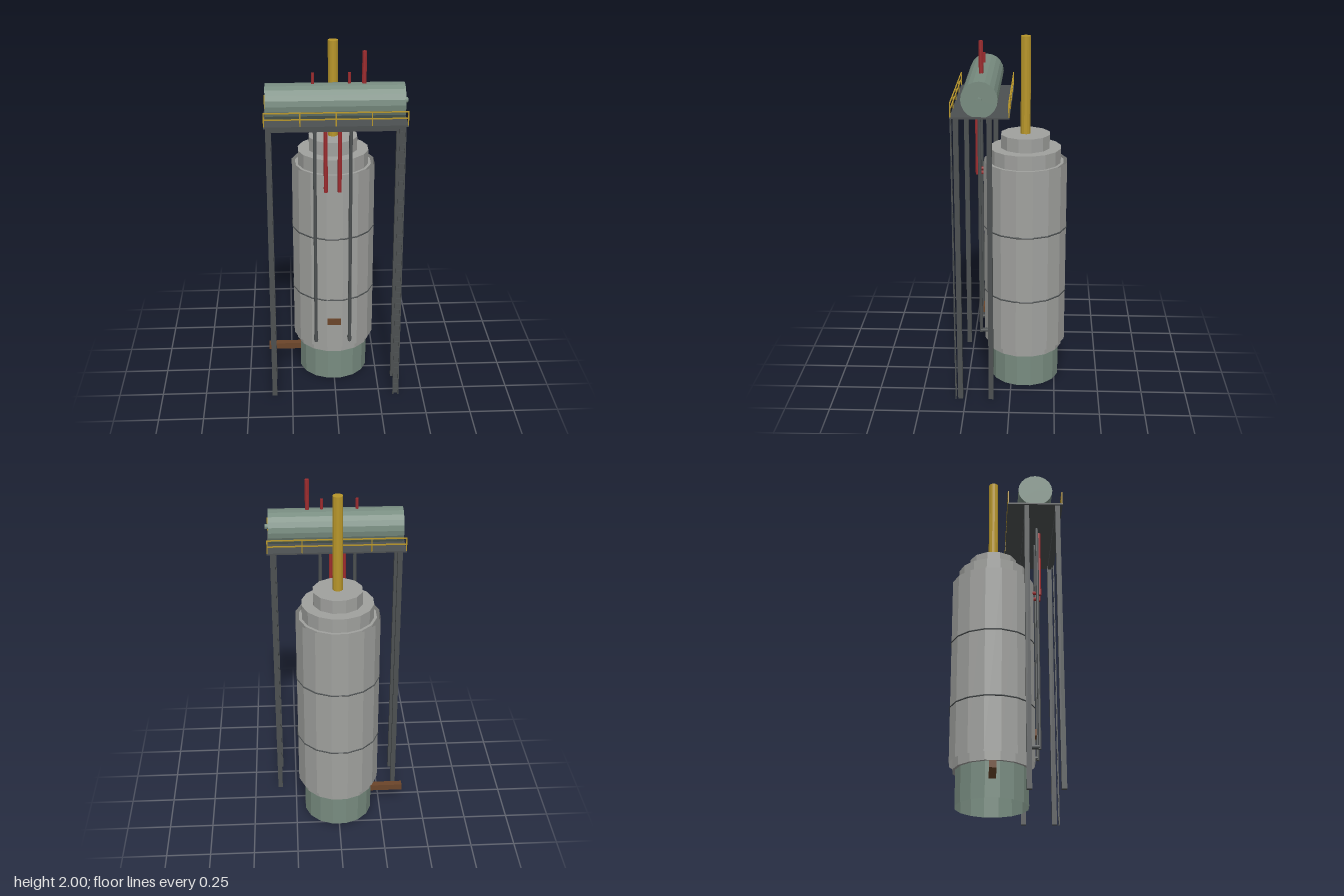
import * as THREE from 'three';

const mat = (name, color, double) => {
  const m = new THREE.MeshStandardMaterial({ color, flatShading: true });
  m.name = name;
  if (double) m.side = THREE.DoubleSide;
  return m;
};

export function createModel() {
  const shellGrey = mat('shell grey', 0xa0a19e, true);
  const tankGreen = mat('tank green', 0x788c80, true);
  const steel = mat('dark steel', 0x4c5051);
  const gold = mat('gold', 0xb8962a);
  const red = mat('pipe red', 0x9c2b2e);
  const brown = mat('duct brown', 0x6b452a);

  const model = new THREE.Group();
  model.name = 'verticalBoiler';
  const towerZ = -0.075;

  const add = (name, geometry, material, x, y, z, parent = model) => {
    const mesh = new THREE.Mesh(geometry, material);
    mesh.name = name;
    mesh.position.set(x, y, z);
    parent.add(mesh);
    return mesh;
  };
  // box given by its minimum and maximum along each axis
  const box = (name, material, [x0, x1], [y0, y1], [z0, z1], parent) =>
    add(name, new THREE.BoxGeometry(x1 - x0, y1 - y0, z1 - z0), material,
      (x0 + x1) / 2, (y0 + y1) / 2, (z0 + z1) / 2, parent);
  // upright cylinder with a flat side facing front
  const drum = (name, material, r, y0, y1, x, z, sides = 16, open = false) => {
    const g = new THREE.CylinderGeometry(r, r, y1 - y0, sides, 1, open).rotateY(Math.PI / sides);
    return add(name, g, material, x, (y0 + y1) / 2, z);
  };
  // short pipe along z
  const stub = (name, material, r, x, y, z0, z1) =>
    add(name, new THREE.CylinderGeometry(r, r, z1 - z0, 8).rotateX(Math.PI / 2),
      material, x, y, (z0 + z1) / 2);

  // Tower: open base and outer shell around closed stepped drums
  drum('towerBase', tankGreen, 0.199, 0, 0.197, 0, towerZ, 16, true);
  drum('innerDrum', shellGrey, 0.215, 0.195, 1.306, 0, towerZ);
  drum('outerShell', shellGrey, 0.235, 0.235, 1.31, 0, towerZ, 16, true);
  drum('upperStep', shellGrey, 0.199, 1.30, 1.387, 0, towerZ);
  drum('topStep', shellGrey, 0.138, 1.38, 1.464, 0, towerZ, 12);
  drum('exhaustStack', gold, 0.028, 1.46, 2, 0, towerZ, 12);

  // Bands around the shell
  for (const y of [0.545, 0.93]) {
    const g = new THREE.TorusGeometry(0.2335, 0.005, 6, 16)
      .rotateX(Math.PI / 2).rotateY(Math.PI / 16);
    add('shellBand', g, steel, 0, y, towerZ);
  }

  // Ducts
  box('sideDuct', brown, [-0.385, 0], [0.1, 0.137], [towerZ - 0.019, towerZ + 0.018]);
  box('frontPort', brown, [-0.042, 0.036], [0.388, 0.426], [0.13, 0.165]);

  // Platform frame
  const legX = [-0.352, 0.347], legZ = [0.106, 0.279], h = 0.0135;
  for (const z of legZ) {
    for (const x of legX) box('leg', steel, [x - h, x + h], [0, 1.638], [z - h, z + h]);
    box('deckBeam', steel, [legX[0], legX[1]], [1.61, 1.638], [z - 0.01, z + 0.01]);
  }
  box('deck', steel, [-0.375, 0.375], [1.637, 1.646], [0, 0.308]);

  // Guard rails on both long sides
  for (const z of [0.003, 0.305]) {
    const rail = new THREE.Group();
    rail.name = 'guardRail';
    model.add(rail);
    for (const x of [-0.372, -0.186, 0, 0.186, 0.372])
      box('railPost', gold, [x - 0.003, x + 0.003], [1.645, 1.722], [z - 0.003, z + 0.003], rail);
    for (const y of [1.684, 1.719])
      box('railBar', gold, [-0.375, 0.375], [y - 0.003, y + 0.003], [z - 0.003, z + 0.003], rail);
  }

  // Ladder
  const ladder = new THREE.Group();
  ladder.name = 'ladder';
  model.add(ladder);
  for (const x of [0.331, 0.36])
    box('ladderSide', steel, [x - 0.003, x + 0.003], [0, 1.64], [0.302, 0.308], ladder);
  for (let y = 0.035; y < 1.63; y += 0.035)
    box('rung', steel, [0.331, 0.36], [y - 0.002, y + 0.002], [0.303, 0.307], ladder);

  // Steam drum lying on the deck, with end nozzle
  add('steamDrum', new THREE.CylinderGeometry(0.096, 0.096, 0.73, 20).rotateZ(Math.PI / 2),
    tankGreen, 0, 1.735, 0.156);
  add('endNozzle', new THREE.CylinderGeometry(0.0135, 0.0135, 0.03, 10).rotateZ(Math.PI / 2),
    tankGreen, 0.369, 1.735, 0.155);

  // Vents on the drum
  for (const [x, r, top] of [[-0.116, 0.0085, 1.888], [0.075, 0.0085, 1.888], [0.153, 0.0125, 2]])
    drum('vent', red, r, 1.8, top, x, 0.157, 8);

  // Risers and downcomers bent into the tower front
  for (const x of [-0.05, 0.025]) {
    drum('riser', red, 0.0115, 1.232, 1.66, x, 0.19, 8);
    stub('riserElbow', red, 0.0105, x, 1.243, 0.13, 0.19);
  }
  for (const x of [-0.108, 0.085]) {
    drum('downcomer', steel, 0.01, 0.288, 1.66, x, 0.175, 8);
    stub('downcomerElbow', steel, 0.012, x, 0.3, 0.12, 0.177);
  }

  return model;
}
